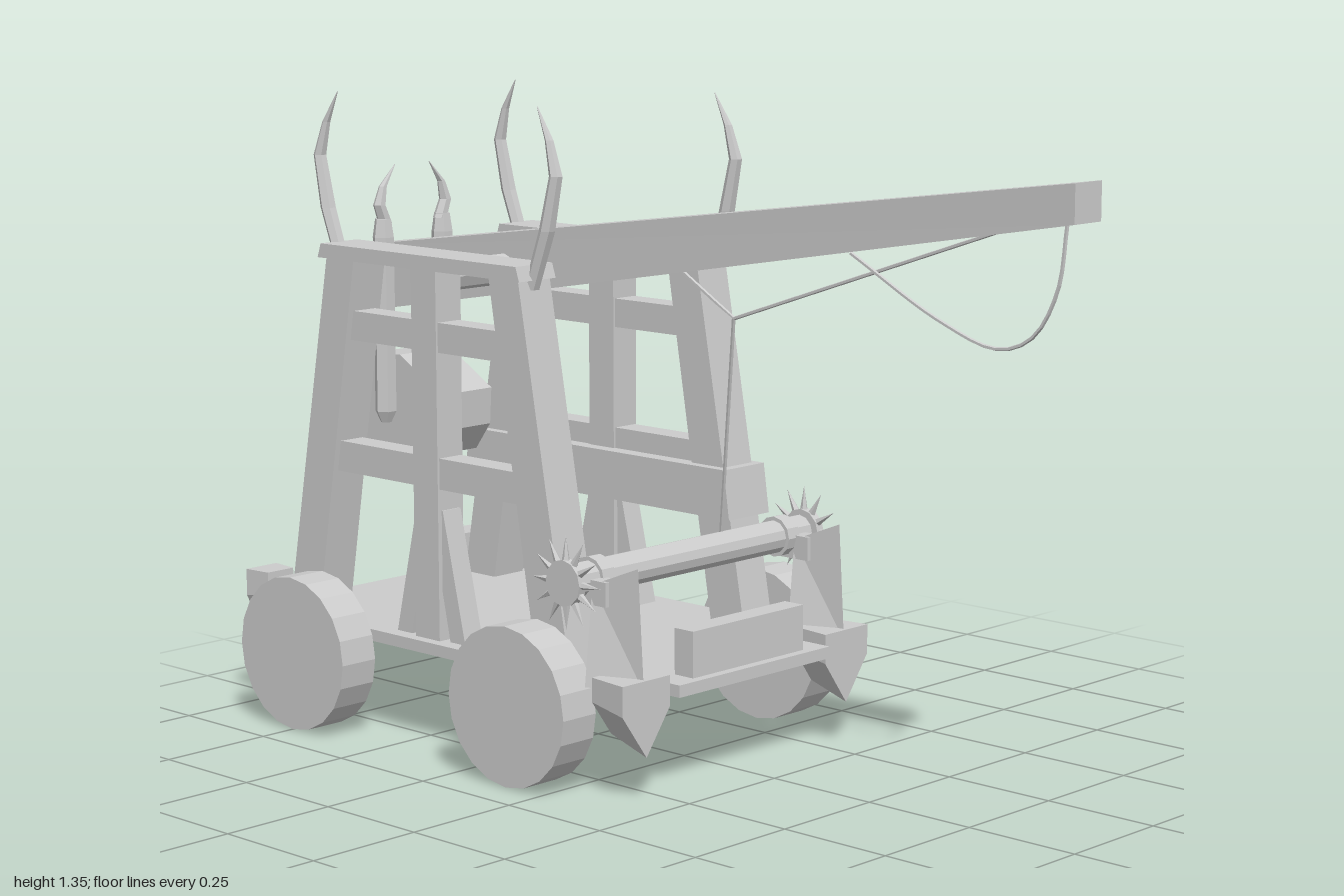
import * as THREE from 'three';

const mat = new THREE.MeshStandardMaterial({ color: 0xcccccc, flatShading: true, side: THREE.DoubleSide });

export function createModel() {
  const root = new THREE.Group();
  const V = (x, y, z) => new THREE.Vector3(x, y, z);

  function add(name, geo, x = 0, y = 0, z = 0, parent = root) {
    const m = new THREE.Mesh(geo, mat);
    m.name = name;
    m.position.set(x, y, z);
    parent.add(m);
    return m;
  }
  // Box given by its limits
  const box = (name, x0, x1, y0, y1, z0, z1) =>
    add(name, new THREE.BoxGeometry(x1 - x0, y1 - y0, z1 - z0), (x0 + x1) / 2, (y0 + y1) / 2, (z0 + z1) / 2);
  // Side outline in (z, y), extruded across x
  function sidePlate(name, pts, x0, x1) {
    const shape = new THREE.Shape(pts.map(([z, y]) => new THREE.Vector2(-z, y)));
    const geo = new THREE.ExtrudeGeometry(shape, { depth: x1 - x0, bevelEnabled: false });
    geo.rotateY(Math.PI / 2);
    return add(name, geo, x0, 0, 0);
  }
  // Cylinder lying along x
  function crossRod(name, r, x0, x1, y, z, sides = 10) {
    const geo = new THREE.CylinderGeometry(r, r, x1 - x0, sides).rotateZ(Math.PI / 2);
    return add(name, geo, (x0 + x1) / 2, y, z);
  }
  // Rings of equal length joined into a closed solid
  function loft(name, rings) {
    const n = rings[0].length, pos = rings.flat(2), idx = [];
    for (let r = 0; r < rings.length - 1; r++)
      for (let i = 0; i < n; i++) {
        const a = r * n + i, b = r * n + (i + 1) % n;
        idx.push(a, b, b + n, a, b + n, a + n);
      }
    const e = (rings.length - 1) * n;
    for (let i = 1; i < n - 1; i++) idx.push(0, i + 1, i, e, e + i, e + i + 1);
    const geo = new THREE.BufferGeometry();
    geo.setAttribute('position', new THREE.Float32BufferAttribute(pos, 3));
    geo.setIndex(idx);
    const flat = geo.toNonIndexed();
    flat.computeVertexNormals();
    return add(name, flat);
  }
  // Tapering curved spike; points are [x, y, z, radius]
  const spike = (name, pts) => loft(name, pts.map(([x, y, z, r]) =>
    [0, 1, 2, 3, 4, 5].map(i => [x + r * Math.cos(-i * Math.PI / 3), y, z + r * Math.sin(-i * Math.PI / 3)])));
  const rope = (name, pts, bend) => {
    let curve = new THREE.CatmullRomCurve3(pts);
    if (!bend) {
      curve = new THREE.CurvePath();
      for (let i = 1; i < pts.length; i++) curve.add(new THREE.LineCurve3(pts[i - 1], pts[i]));
    }
    return add(name, new THREE.TubeGeometry(curve, bend ? 24 : 16, 0.004, 5));
  };
  // Pointed shield block, smaller at its inner end
  function shield(name, cx, top, bottom, half, zBack, zFront, backScale, frontScale) {
    const shoulder = top - (top - bottom) * 0.4;
    const ring = (z, s) => [[-half, top], [-half, shoulder], [0, bottom], [half, shoulder], [half, top]]
      .map(([x, y]) => [cx + x * s, top + (y - top) * s, z]);
    loft(name, [ring(zBack, backScale), ring(zFront, frontScale)]);
  }

  // Platform with narrower nose, and the wheel axles beneath it
  box('platform', -0.32, 0.32, 0.2, 0.225, -0.95, 0.07);
  box('platformNose', -0.225, 0.225, 0.2, 0.225, 0.07, 0.2);
  const trough = box('frontBox', -0.165, 0.165, 0.22, 0.32, 0.13, 0.18);
  trough.rotation.x = 0;
  for (const z of [-0.095, -0.75]) {
    crossRod('wheelAxle', 0.014, -0.34, 0.34, 0.196, z, 8);
    for (const s of [-1, 1]) {
      const x = s * 0.373;
      crossRod('wheel', 0.165, x - 0.045, x + 0.045, 0.165, z, 20);
    }
  }

  // Side frames
  const midZ = -0.455;
  for (const s of [-1, 1]) {
    const x0 = s < 0 ? -0.305 : 0.212, x1 = x0 + 0.088, cx = (x0 + x1) / 2;
    for (const d of [-1, 1]) {
      const Z = z => midZ + d * z;
      sidePlate('frameLeg', [[Z(0.43), 0.22], [Z(0.29), 1.0], [Z(0.205), 1.0], [Z(0.335), 0.22]], x0, x1);
      sidePlate('frameBrace', [[Z(0.105), 0.22], [Z(0.06), 0.22], [Z(0.0), 0.5], [Z(0.04), 0.5]], cx - 0.025, cx + 0.025);
      // Horn rising from the end of the top beam
      spike('horn', [[s * 0.263, 0.98, Z(0.285), 0.016], [s * 0.263, 1.1, Z(0.33), 0.017],
        [s * 0.262, 1.21, Z(0.355), 0.014], [s * 0.26, 1.28, Z(0.335), 0.009], [s * 0.258, 1.345, Z(0.3), 0.001]]);
    }
    box('middlePost', cx - 0.035, cx + 0.035, 0.22, 1.0, midZ - 0.037, midZ + 0.037);
    sidePlate('topBeam', [[-0.155, 1.0], [-0.165, 1.03], [-0.755, 1.03], [-0.765, 1.0]], x0 - 0.007, x1 + 0.007);
    box('upperRail', cx - 0.03, cx + 0.03, 0.83, 0.892, midZ - 0.24, midZ + 0.24);
    box('lowerRail', cx - 0.03, cx + 0.03, 0.545, 0.61, midZ - 0.29, midZ + 0.29);
  }
  // Heavy beam fixed to one frame only
  sidePlate('sideBeam', [[-0.05, 0.46], [-0.065, 0.565], [-0.84, 0.565], [-0.86, 0.46]], 0.19, 0.315);
  crossRod('pivotAxle', 0.032, -0.22, 0.22, 0.98, midZ, 8);

  // Throwing arm, thicker toward the rear
  loft('throwingArm', [
    [[-0.075, 0.845, -0.925], [0.075, 0.845, -0.925], [0.075, 0.988, -0.953], [-0.075, 0.988, -0.953]],
    [[-0.04, 1.18, 1], [0.04, 1.18, 1], [0.04, 1.255, 1], [-0.04, 1.255, 1]],
  ]);

  // Counterweight, its hangers and hooked tips
  sidePlate('counterweight', [[-0.65, 0.69], [-0.655, 0.61], [-0.7, 0.55], [-0.88, 0.505],
    [-0.965, 0.6], [-0.975, 0.67], [-0.87, 0.76], [-0.78, 0.765]], -0.072, 0.077);
  for (const s of [-1, 1]) {
    const x = s * 0.086;
    spike('hanger', [[x, 0.615, -0.812, 0.012], [x, 0.64, -0.812, 0.024], [x, 1.02, -0.812, 0.024], [x, 1.06, -0.812, 0.018]]);
    spike('hangerHook', [[s * 0.08, 1.05, -0.812, 0.016], [s * 0.096, 1.09, -0.812, 0.014],
      [s * 0.085, 1.13, -0.812, 0.009], [s * 0.05, 1.175, -0.812, 0.001]]);
  }

  // Windlass with collars and spiked end wheels
  const wy = 0.425, wz = 0.015;
  crossRod('windlassDrum', 0.035, -0.34, 0.34, wy, wz, 12);
  for (const s of [-1, 1]) {
    crossRod('windlassCollar', 0.043, s * 0.275 - 0.017, s * 0.275 + 0.017, wy, wz, 12);
    crossRod('spikedHub', 0.047, s * 0.354 - 0.01, s * 0.354 + 0.01, wy, wz, 12);
    for (let i = 0; i < 12; i++) {
      const a = i * Math.PI / 6;
      const m = add('hubSpike', new THREE.ConeGeometry(0.009, 0.055, 5),
        s * 0.354, wy + 0.068 * Math.cos(a), wz + 0.068 * Math.sin(a));
      m.rotation.x = a;
    }
    // Ridged bearing post with a pointed shield at its foot
    const px = s * 0.3;
    loft('bearingPost', [
      [[px - 0.048, 0.22, 0.06], [px + 0.048, 0.22, 0.06], [px, 0.22, 0.175]].reverse(),
      [[px - 0.016, 0.42, 0.05], [px + 0.016, 0.42, 0.05], [px, 0.465, 0.16]].reverse(),
    ].reverse());
    box('bearingArm', px - 0.02, px + 0.02, 0.38, 0.43, 0.0, 0.09);
    shield('frontShield', px, 0.245, 0.09, 0.067, 0.085, 0.182, 0.8, 1);
    shield('rearShield', s * 0.29, 0.298, 0.152, 0.042, -1.0, -0.935, 1, 0.85);
  }

  // Ropes
  rope('slingRope', [V(0, 1.18, 0.955), V(0, 1.05, 0.935), V(0, 0.96, 0.88), V(0, 0.93, 0.8),
    V(0, 0.97, 0.66), V(0, 1.08, 0.44)], true);
  rope('armRope', [V(0, 1.15, 0.8), V(0.012, 0.922, 0.125), V(0, 1.01, -0.01)], false);
  rope('windlassRope', [V(0.012, 0.922, 0.125), V(0.1, 0.45, 0.01)], false);

  return root;
}
